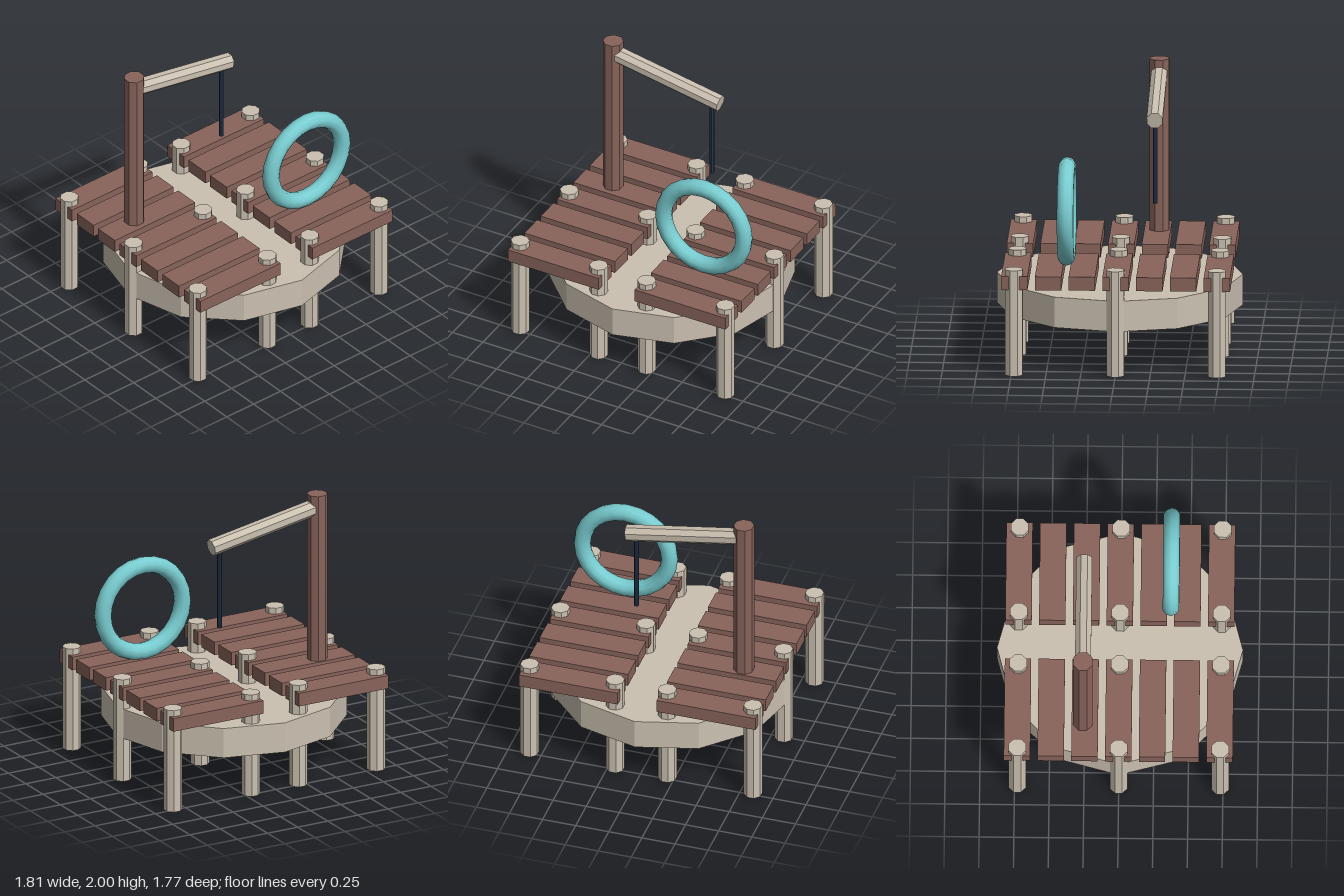
import * as THREE from 'three';

const material = (name, color, flatShading = true) => {
  const m = new THREE.MeshStandardMaterial({ color, flatShading });
  m.name = name;
  return m;
};

export function createModel() {
  const model = new THREE.Group();
  model.name = 'dock';
  const paleWood = material('pale wood', 0xcbc1b1);
  const brownWood = material('brown wood', 0x88645b);
  const navy = material('navy rope', 0x25374f);
  const teal = material('teal', 0x79cdd1, false);

  const add = (name, geometry, mat, x, y, z) => {
    const mesh = new THREE.Mesh(geometry, mat);
    mesh.name = name;
    mesh.position.set(x, y, z);
    model.add(mesh);
    return mesh;
  };
  // Eight-sided prism with a flat side facing front
  const octagon = (r, h) => new THREE.CylinderGeometry(r, r, h, 8).rotateY(Math.PI / 8);

  // Twelve-sided drum under the deck
  add('base', new THREE.CylinderGeometry(0.885, 0.885, 0.225, 12), paleWood, 0, 0.443, 0);

  // Two rows of planks with supporting posts
  const plank = new THREE.BoxGeometry(0.745, 0.1, 0.19);
  const post = octagon(0.068, 0.78);
  for (const side of [-1, 1]) {
    for (let i = 0; i < 7; i++) {
      add('plank', plank, brownWood, side * 0.52, 0.685, (i - 3) * 0.243 - 0.003);
    }
    for (const z of [-0.73, 0, 0.73]) {
      add('outerPost', post, paleWood, side * 0.843, 0.39, z);
      add('innerPost', post, paleWood, side * 0.197, 0.39, z);
    }
  }

  // Crane: mast, sloping boom and hanging rope
  const craneZ = -0.26;
  add('mast', octagon(0.075, 1.445), brownWood, -0.625, 1.2775, craneZ);
  const start = new THREE.Vector3(-0.61, 1.898, craneZ);
  const end = new THREE.Vector3(0.255, 1.745, craneZ);
  const along = end.clone().sub(start);
  const middle = start.clone().lerp(end, 0.5);
  const boom = add('boom', octagon(0.062, along.length()), paleWood, middle.x, middle.y, middle.z);
  boom.quaternion.setFromUnitVectors(new THREE.Vector3(0, 1, 0), along.normalize());
  add('rope', octagon(0.018, 0.62), navy, 0.185, 1.43, craneZ);

  // Upright ring standing on the deck
  add('ring', new THREE.TorusGeometry(0.33, 0.062, 10, 24), teal, 0.465, 1.12, 0.365);

  return model;
}
